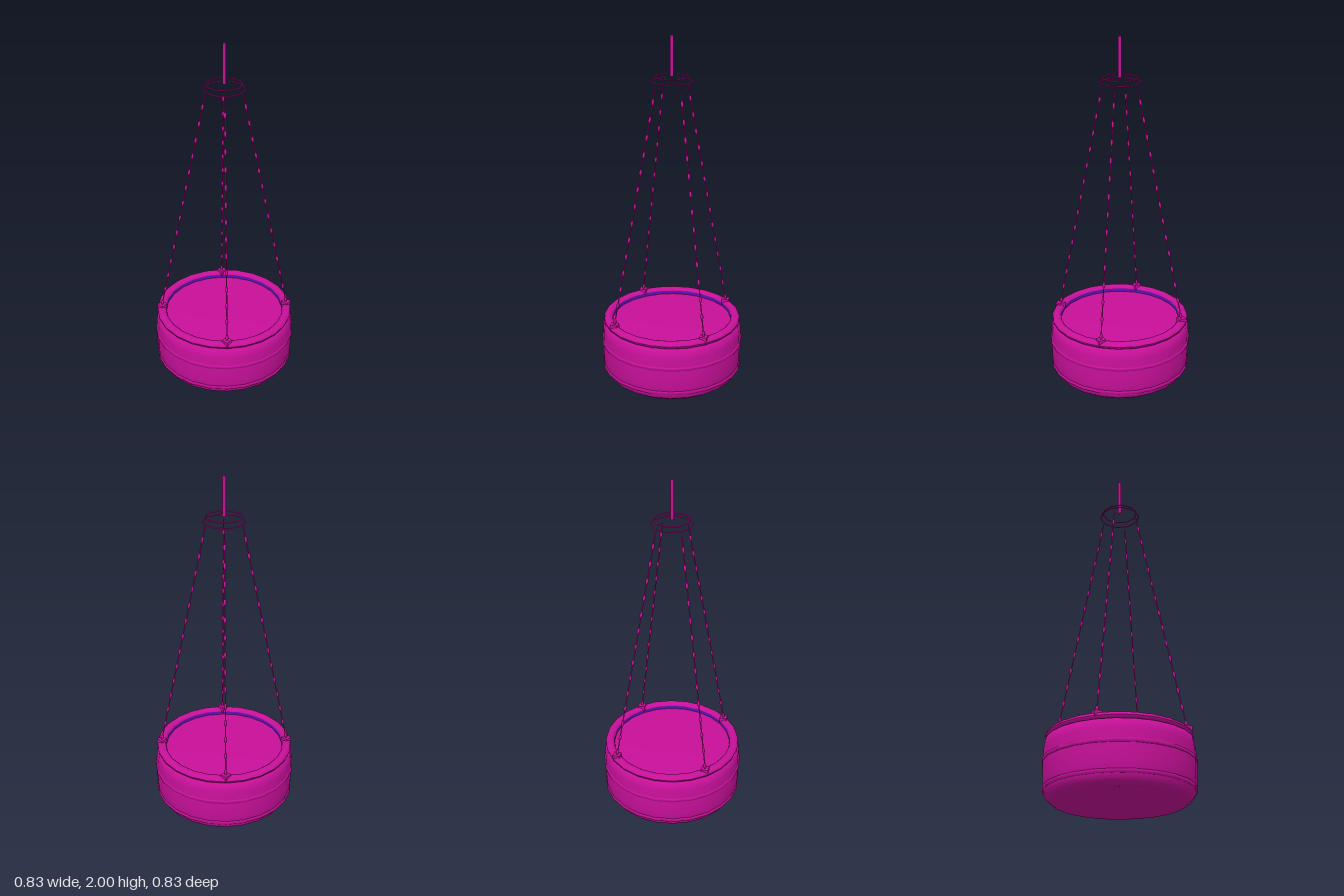
import * as THREE from 'three';

const SIDES = 24;

export function createModel() {
  const magenta = new THREE.MeshStandardMaterial({ color: 0xc8109a });
  magenta.name = 'magenta';
  const violet = new THREE.MeshStandardMaterial({ color: 0x5a14b4 });
  violet.name = 'violet';

  const model = new THREE.Group();
  model.name = 'hangingBasket';

  const add = (parent, name, geometry, material = magenta, x = 0, y = 0, z = 0) => {
    const mesh = new THREE.Mesh(geometry, material);
    mesh.name = name;
    mesh.position.set(x, y, z);
    parent.add(mesh);
    return mesh;
  };
  const lathe = (points, sides = SIDES) =>
    new THREE.LatheGeometry(points.map(([r, y]) => new THREE.Vector2(r, y)), sides);

  // Closed drum with softly shaded base and top
  add(model, 'drum', lathe([
    [0, 0], [0.355, 0], [0.385, 0.022], [0.403, 0.05], [0.41, 0.12], [0.412, 0.2],
    [0.408, 0.28], [0.4, 0.335], [0.36, 0.338], [0, 0.338],
  ]));

  // Rounded rim, flattened a little on its outer edge
  const rim = [];
  for (let i = 0; i <= 12; i++) {
    const a = (i / 12) * Math.PI * 2;
    rim.push([0.375 + 0.026 * Math.cos(a), 0.354 + 0.021 * Math.sin(a)]);
  }
  add(model, 'rim', lathe(rim));

  // Thin inner lining below the rim, facing inward
  add(model, 'innerLining', lathe([[0.349, 0.358], [0.349, 0.337]]), violet);

  // Raised bands round the drum
  for (const [y, r] of [[0.067, 0.41], [0.219, 0.415]]) {
    add(model, 'band', lathe([
      [r - 0.014, y - 0.013], [r, y - 0.009], [r, y + 0.009], [r - 0.014, y + 0.013],
    ]));
  }

  // Four brackets, each with a chain leading up toward the hanging rings
  const beadGeometry = new THREE.SphereGeometry(1, 6, 4);
  beadGeometry.scale(0.009, 0.02, 0.009);
  const linkGeometry = new THREE.CylinderGeometry(0.0035, 0.0035, 0.062, 5);
  const up = new THREE.Vector3(0, 1, 0);
  const beads = 14;
  for (const sx of [1, -1]) {
    for (const sz of [1, -1]) {
      add(model, 'bracket', new THREE.BoxGeometry(0.042, 0.035, 0.042), magenta,
        sx * 0.264, 0.368, sz * 0.264);

      const chain = new THREE.Group();
      chain.name = 'chain';
      model.add(chain);
      const start = new THREE.Vector3(sx * 0.265, 0.375, sz * 0.265);
      const end = new THREE.Vector3(sx * 0.072, 1.72, sz * 0.072);
      const turn = new THREE.Quaternion().setFromUnitVectors(
        up, end.clone().sub(start).normalize());
      for (let i = 0; i < beads; i++) {
        for (const [name, geometry, offset] of [
          ['chainBead', beadGeometry, 0.25], ['chainLink', linkGeometry, 0.73],
        ]) {
          const part = add(chain, name, geometry);
          part.position.lerpVectors(start, end, (i + offset) / beads);
          part.quaternion.copy(turn);
        }
      }
    }
  }

  // Two thin ten-sided hanging rings
  for (const [r, y] of [[0.1, 1.777], [0.115, 1.752]]) {
    const ring = new THREE.TorusGeometry(r, 0.0035, 6, 10);
    ring.rotateX(Math.PI / 2);
    add(model, 'hangingRing', ring, magenta, 0, y, 0);
  }

  // Hanging rod
  add(model, 'rod', new THREE.CylinderGeometry(0.01, 0.01, 0.22, 8), magenta, 0, 1.89, 0);

  return model;
}
